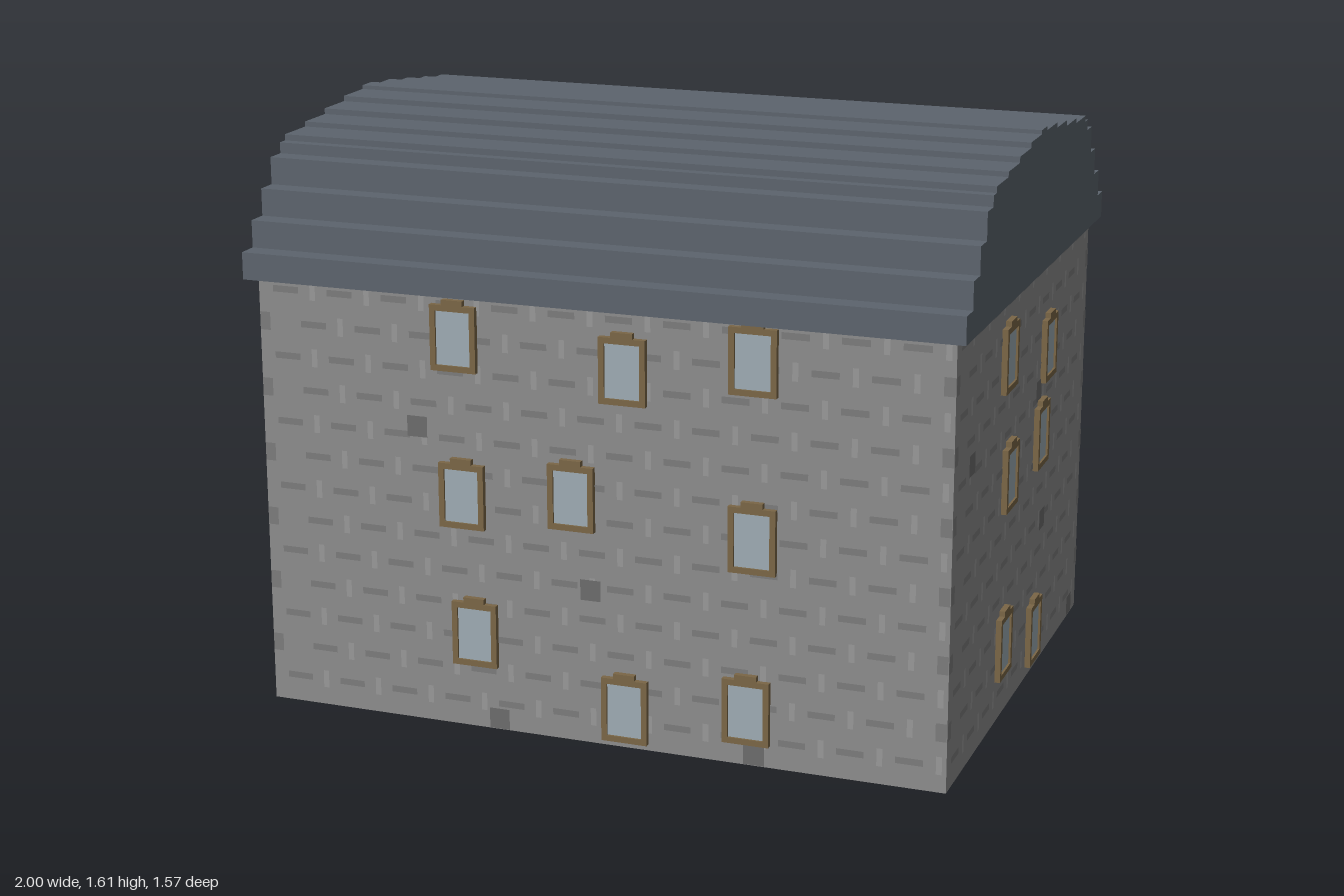
import * as THREE from 'three';
import { mergeGeometries } from 'three/addons/utils/BufferGeometryUtils.js';

const mat = (color) => new THREE.MeshStandardMaterial({ color, flatShading: true });
const M = {
  stone: mat(0x8c8c8c), dark: mat(0x7b7b7b), light: mat(0x989898), odd: mat(0x6c6c6c),
  roof: mat(0x5c646d), frame: mat(0x7a6646), glass: mat(0x9dabb3), door: mat(0x7c6644), post: mat(0xa6a6a6),
};
const X0 = -0.97, X1 = 0.97, Z0 = -0.738, Z1 = 0.753, WALL_H = 1.22;

function mesh(name, geometry, material) {
  const m = new THREE.Mesh(geometry, material);
  m.name = name;
  return m;
}

// box given by its lower and upper corners
function block(x0, x1, y0, y1, z0, z1) {
  return new THREE.BoxGeometry(x1 - x0, y1 - y0, z1 - z0)
    .translate((x0 + x1) / 2, (y0 + y1) / 2, (z0 + z1) / 2);
}

// thin patch lying just proud of a wall
function patch(x, y, w, h, lift) {
  return new THREE.PlaneGeometry(w, h).translate(x, y, lift);
}

function createWindow() {
  const g = new THREE.Group();
  g.name = 'window';
  const w = 0.065, h = 0.09, t = 0.016;
  const rect = (P, a, b) => new P([[-a, -b], [a, -b], [a, b], [-a, b]].map((p) => new THREE.Vector2(...p)));
  const shape = rect(THREE.Shape, w, h);
  shape.holes.push(rect(THREE.Path, w - t, h - t));
  g.add(mesh('windowFrame', new THREE.ExtrudeGeometry(shape, { depth: 0.016, bevelEnabled: false }), M.frame));
  g.add(mesh('windowPane', block(-w + t, w - t, -h + t, h - t, 0, 0.01), M.glass));
  g.add(mesh('windowCap', block(-0.03, 0.03, h, h + 0.015, 0, 0.016), M.frame));
  return g;
}

// mortar shadows, upright joints and corner stones over one wall from a to b
function addMasonry(wall, a, b) {
  const dark = [], light = [];
  const pitch = 0.16, course = 0.0925;
  for (let row = 0; row * course < 1.13; row++) {
    const y = 0.075 + row * course;
    const shift = (row % 2) * pitch / 2;
    for (let x = a + 0.08 + shift; x < b - 0.07; x += pitch) {
      dark.push(patch(x, y, 0.075, 0.018, 0.001));
      light.push(patch(x + pitch / 2, y, 0.016, 0.05, 0.0012));
    }
    if (row % 2) for (const x of [a + 0.016, b - 0.016]) dark.push(patch(x, y, 0.03, 0.05, 0.0015));
  }
  wall.add(mesh('mortarShadows', mergeGeometries(dark), M.dark));
  wall.add(mesh('stoneJoints', mergeGeometries(light), M.light));
}

// each wall: position, turn, sign of its local x, extent, windows and odd dark stones
const WALLS = [
  { name: 'frontWall', pos: [0, 0, Z1], turn: 0, sign: 1, span: [X0, X1],
    windows: [[-0.395, 1.095], [0.083, 1.05], [0.44, 1.11], [-0.38, 0.66], [-0.065, 0.69], [0.44, 0.63],
      [-0.35, 0.27], [0.083, 0.108], [0.425, 0.152]],
    stones: [[-0.51, 0.84], [-0.015, 0.435], [-0.285, 0.031], [0.445, 0.031]] },
  { name: 'backWall', pos: [0, 0, Z0], turn: Math.PI, sign: -1, span: [X0, X1],
    windows: [[0.4, 0.91], [-0.064, 0.925], [-0.255, 0.938], [0.425, 0.585], [0.1, 0.58], [-0.238, 0.6],
      [0.433, 0.26], [-0.263, 0.19]],
    stones: [[0.91, 0.031]] },
  { name: 'rightWall', pos: [X1, 0, 0], turn: Math.PI / 2, sign: -1, span: [-Z1, -Z0],
    windows: [[0.222, 1.035], [-0.24, 0.945], [0.18, 0.69], [-0.18, 0.705], [0.195, 0.212], [-0.162, 0.123]],
    stones: [[0.577, 0.84], [-0.155, 0.84], [-0.245, 0.435], [-0.65, 0.034]] },
  { name: 'leftWall', pos: [X0, 0, 0], turn: -Math.PI / 2, sign: 1, span: [Z0, Z1],
    windows: [[-0.164, 1.045], [0.212, 0.945], [0.2, 0.6], [-0.2, 0.488], [0.2, 0.293], [-0.105, 0.238]],
    stones: [[-0.21, 0.031]] },
];

function createWall(def) {
  const wall = new THREE.Group();
  wall.name = def.name;
  wall.position.set(...def.pos);
  wall.rotation.y = def.turn;
  addMasonry(wall, ...def.span);
  for (const [u, y] of def.windows) {
    const win = createWindow();
    win.position.set(def.sign * u, y, 0);
    wall.add(win);
  }
  const odd = def.stones.map(([u, y]) => patch(def.sign * u, y, 0.058, 0.058, 0.002));
  wall.add(mesh('darkStones', mergeGeometries(odd), M.odd));
  return wall;
}

// stepped barrel roof: half width and top height of each step
function createRoof() {
  const steps = [[0.777, 1.285], [0.717, 1.36], [0.656, 1.435], [0.597, 1.51], [0.54, 1.54], [0.51, 1.557],
    [0.39, 1.571], [0.27, 1.587], [0.15, 1.602], [0.03, 1.613]];
  const side = [];
  let y = 1.21;
  for (const [w, top] of steps) {
    side.push([w, y], [w, top]);
    y = top;
  }
  const outline = [...side, ...side.map(([w, h]) => [-w, h]).reverse()];
  const shape = new THREE.Shape(outline.map((p) => new THREE.Vector2(...p)));
  const geometry = new THREE.ExtrudeGeometry(shape, { depth: 2, bevelEnabled: false });
  geometry.translate(0, 0, -1).rotateY(Math.PI / 2).translate(0, 0, 0.0075);
  return mesh('roof', geometry, M.roof);
}

// beam on a row of posts along the back, with the door behind
function createPorch() {
  const porch = new THREE.Group();
  porch.name = 'backPorch';
  porch.add(mesh('beam', block(-0.925, 0.92, 0.405, 0.45, -0.785, Z0), M.post));
  for (let i = 0; i < 8; i++) {
    const x = -0.71 + i * 0.203;
    porch.add(mesh('post', block(x - 0.015, x + 0.015, 0, 0.405, -0.766, Z0), M.post));
  }
  porch.add(mesh('door', block(-0.1, 0.1, 0, 0.36, -0.755, Z0), M.door));
  return porch;
}

export function createModel() {
  const model = new THREE.Group();
  model.name = 'stoneHouse';
  model.add(mesh('walls', block(X0, X1, 0, WALL_H, Z0, Z1), M.stone));
  for (const def of WALLS) model.add(createWall(def));
  model.add(createRoof(), createPorch());
  return model;
}
